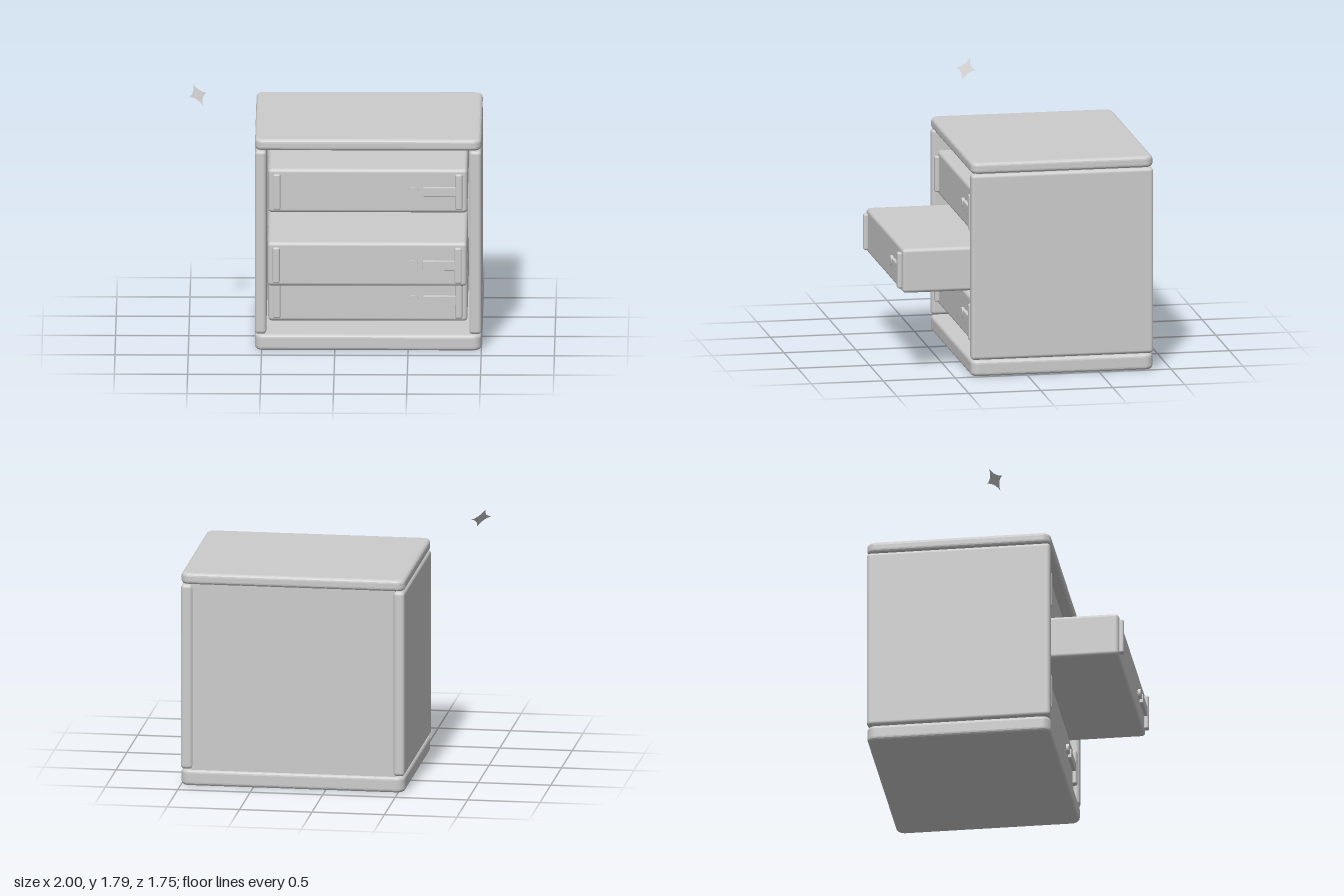
import * as THREE from 'three';
import { RoundedBoxGeometry } from 'three/addons/geometries/RoundedBoxGeometry.js';

const grey = new THREE.MeshStandardMaterial({ color: 0xcccccc });
grey.name = 'grey';
const greySheet = new THREE.MeshStandardMaterial({ color: 0xcccccc, side: THREE.DoubleSide });
greySheet.name = 'grey sheet';

// Rounded box given by its extents on each axis
function block(name, [x0, x1], [y0, y1], [z0, z1], radius) {
  const geo = new RoundedBoxGeometry(x1 - x0, y1 - y0, z1 - z0, 4, radius);
  const mesh = new THREE.Mesh(geo, grey);
  mesh.name = name;
  mesh.position.set((x0 + x1) / 2, (y0 + y1) / 2, (z0 + z1) / 2);
  return mesh;
}

// Horizontal slab with rounded corners in plan and softened edges
function slab(name, y0, y1) {
  const b = 0.025, r = 0.035, w = 1.545 / 2 - b, d = 1.265 / 2 - b;
  const s = new THREE.Shape();
  s.moveTo(-w + r, -d);
  s.absarc(w - r, -d + r, r, -Math.PI / 2, 0);
  s.absarc(w - r, d - r, r, 0, Math.PI / 2);
  s.absarc(-w + r, d - r, r, Math.PI / 2, Math.PI);
  s.absarc(-w + r, -d + r, r, Math.PI, Math.PI * 1.5);
  const geo = new THREE.ExtrudeGeometry(s, {
    depth: y1 - y0 - 2 * b, bevelSize: b, bevelThickness: b, bevelSegments: 4, curveSegments: 6,
  });
  geo.rotateX(-Math.PI / 2);
  const mesh = new THREE.Mesh(geo, grey);
  mesh.name = name;
  mesh.position.set(0.2275, y0 + b, -0.2475);
  return mesh;
}

// Drawer with two upright grips, a cross bar and a round knob
function drawer(name, y, front) {
  const g = new THREE.Group();
  g.name = name;
  g.add(block('drawerBox', [-0.455, 0.905], [0, 0.308], [-1.15, 0], 0.025));
  for (const x of [-0.42, 0.822])
    g.add(block('grip', [x, x + 0.048], [0.027, 0.278], [-0.005, 0.03], 0.012));
  g.add(block('crossBar', [0.604, 0.835], [0.121, 0.186], [-0.005, 0.024], 0.004));
  const knob = new THREE.Mesh(new THREE.CylinderGeometry(0.035, 0.035, 0.025, 24), grey);
  knob.name = 'knob';
  knob.rotation.x = Math.PI / 2;
  knob.position.set(0.537, 0.153, 0.0075);
  g.add(knob);
  g.position.set(0, y, front);
  return g;
}

// Flat four-pointed star facing the diagonal
function star() {
  const R = 0.084, c = 0.018;
  const s = new THREE.Shape();
  s.moveTo(R, 0);
  s.quadraticCurveTo(c, c, 0, R);
  s.quadraticCurveTo(-c, c, -R, 0);
  s.quadraticCurveTo(-c, -c, 0, -R);
  s.quadraticCurveTo(c, -c, R, 0);
  const mesh = new THREE.Mesh(new THREE.ShapeGeometry(s, 8), greySheet);
  mesh.name = 'star';
  const basis = new THREE.Matrix4().makeBasis(
    new THREE.Vector3(1, 0, -1).normalize(),
    new THREE.Vector3(-1, 2, -1).normalize(),
    new THREE.Vector3(1, 1, 1).normalize());
  mesh.quaternion.setFromRotationMatrix(basis);
  mesh.position.set(-0.937, 1.722, 0.059);
  return mesh;
}

export function createModel() {
  const model = new THREE.Group();
  model.name = 'drawerCabinet';

  // Carcass
  model.add(slab('base', 0, 0.112), slab('top', 1.414, 1.493));
  model.add(block('rightSide', [-0.545, -0.468], [0.115, 1.412], [-0.88, 0.385], 0.025));
  model.add(block('leftSide', [0.918, 1], [0.115, 1.412], [-0.88, 0.385], 0.025));
  model.add(block('backPanel', [-0.48, 0.93], [0.1, 1.425], [-0.865, -0.81], 0.005));

  // Drawers, the middle one pulled out
  model.add(drawer('bottomDrawer', 0.2, 0.35));
  model.add(drawer('middleDrawer', 0.583, 0.845));
  model.add(drawer('topDrawer', 0.967, 0.35));

  model.add(star());
  return model;
}
